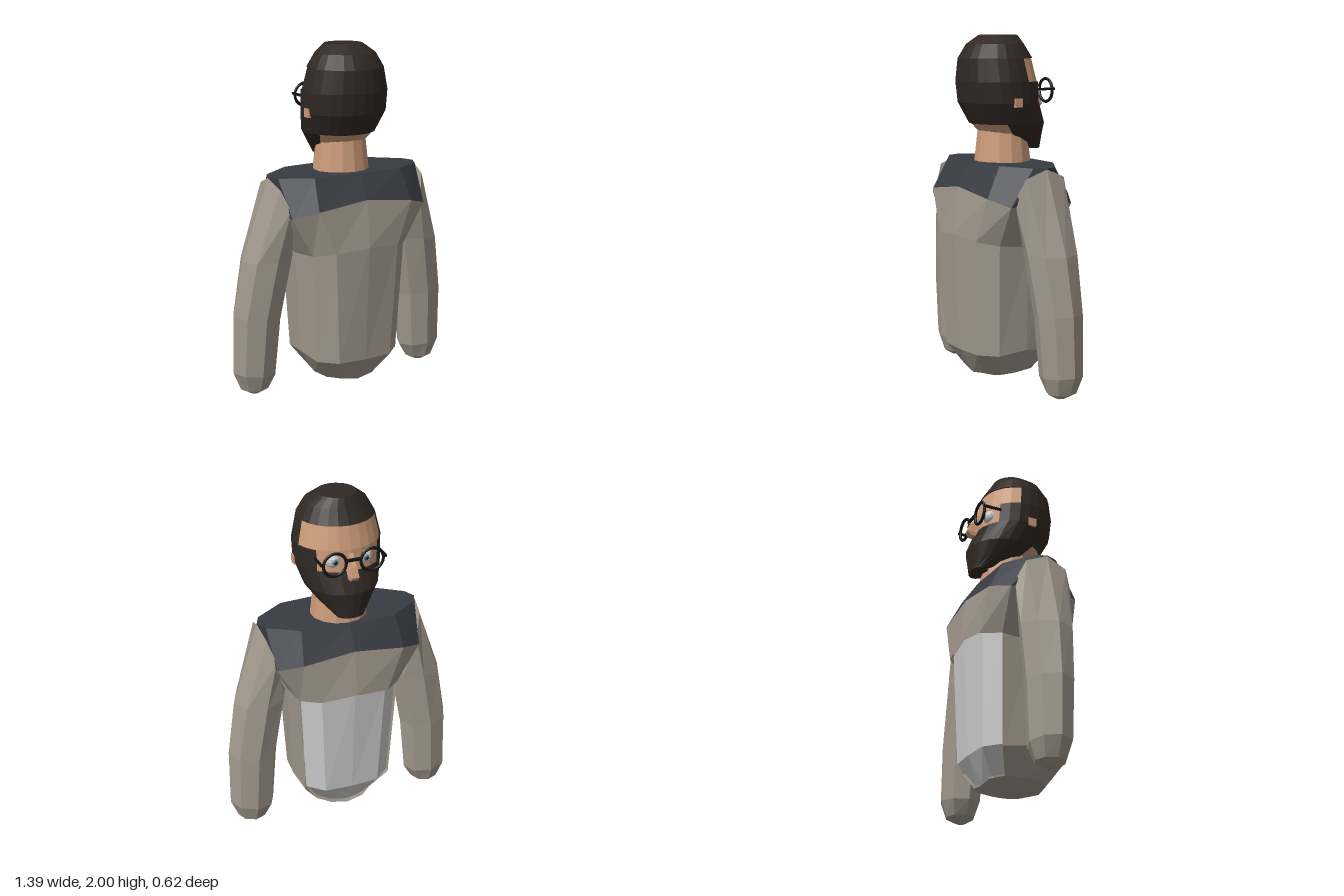
import * as THREE from 'three';

const mat = (color) => new THREE.MeshStandardMaterial({ color, flatShading: true, side: THREE.DoubleSide });
const COAT = mat(0xa1988c), NAVY = mat(0x383b42), SHIRT = mat(0xcccccc), SKIN = mat(0xcc9b7a);
const HAIR = mat(0x2f2824), BLACK = mat(0x141416), WHITE = mat(0xeeeeee), IRIS = mat(0x5f7f95);

// Skin rings of points (bottom to top, counterclockwise from above); keep(i, j) may leave faces out
function loft(rings, { bottom = false, top = false, keep = () => true } = {}) {
  const n = rings[0].length, pos = rings.flat(2), index = [];
  for (let i = 0; i < rings.length - 1; i++) {
    for (let j = 0; j < n; j++) {
      if (!keep(i, j)) continue;
      const a = i * n + j, b = i * n + (j + 1) % n;
      index.push(a, b, b + n, a, b + n, a + n);
    }
  }
  const cap = (i, up) => {
    const c = pos.length / 3;
    for (let k = 0; k < 3; k++) pos.push(rings[i].reduce((s, p) => s + p[k], 0) / n);
    for (let j = 0; j < n; j++) {
      const a = i * n + j, b = i * n + (j + 1) % n;
      index.push(...(up ? [a, b, c] : [b, a, c]));
    }
  };
  if (bottom) cap(0, false);
  if (top) cap(rings.length - 1, true);
  const g = new THREE.BufferGeometry();
  g.setAttribute('position', new THREE.Float32BufferAttribute(pos, 3));
  g.setIndex(index);
  g.computeVertexNormals();
  return g;
}

function add(parent, name, geometry, material, x = 0, y = 0, z = 0) {
  const m = new THREE.Mesh(geometry, material);
  m.name = name;
  m.position.set(x, y, z);
  parent.add(m);
  return m;
}

// Torso ring from a quarter outline (centre, mid, corner, side), mirrored both ways
function torsoRing([A, B, C, D]) {
  const m = ([x, y, z], sx, sz) => [x * sx, y, z * sz];
  return [A, B, C, D, m(C, 1, -1), m(B, 1, -1), m(A, 1, -1),
    m(B, -1, -1), m(C, -1, -1), m(D, -1, 1), m(C, -1, 1), m(B, -1, 1)];
}

function addTorso(parent) {
  const rings = [
    [[0, .03, .1], [.07, .035, .09], [.11, .04, .06], [.13, .045, 0]],
    [[0, .05, .18], [.1, .065, .17], [.17, .07, .11], [.19, .07, 0]],
    [[0, .2, .27], [.17, .2, .26], [.265, .2, .17], [.285, .22, 0]],
    [[0, .88, .31], [.2, .86, .285], [.3, .84, .19], [.31, .82, 0]],
    [[0, 1.15, .28], [.3, 1.11, .27], [.43, 1.07, .2], [.46, 1.1, 0]],
    [[0, 1.285, .2], [.28, 1.285, .18], [.45, 1.28, .07], [.48, 1.28, 0]],
  ].map(torsoRing);
  // Coat open at the chest, with a recessed shirt panel behind the opening
  const opening = (j) => j >= 4 && j <= 7;
  add(parent, 'coat', loft(rings.slice(0, 5), { bottom: true, keep: (i, j) => !(opening(j) && (i === 1 || i === 2)) }), COAT);
  const inset = rings.slice(1, 4).map((r) => r.map(([x, y, z]) => [x * .97, y + .015, z * .93]));
  add(parent, 'shirtPanel', loft(inset, { keep: (i, j) => opening(j) }), SHIRT);
  add(parent, 'shoulderYoke', loft(rings.slice(4), { top: true }), NAVY);
}

// Sleeve rings: centre x, y, z, half width, half depth, slope of y over x
function addSleeve(parent, s) {
  const rings = [
    [.565, .005, -.04, .03, .03, 0],
    [.565, .035, -.045, .085, .085, 0],
    [.563, .13, -.045, .132, .118, .1],
    [.545, .47, -.035, .145, .132, .1],
    [.485, .82, -.02, .155, .15, -.1],
    [.425, 1.11, 0, .055, .175, 3],
  ].map(([cx, cy, cz, rx, rz, slope]) => {
    const ring = [];
    for (let k = 0; k < 8; k++) {
      const a = k * Math.PI / 4, dx = rx * Math.cos(a);
      ring.push([s * (cx + dx), cy + slope * dx, cz - rz * Math.sin(a)]);
    }
    return s > 0 ? ring : ring.reverse();
  });
  add(parent, s > 0 ? 'leftSleeve' : 'rightSleeve', loft(rings, { bottom: true, top: true }), COAT);
}

// Head ring: height, back z, front z, half width; point 0 is the middle of the face
const SEG = 24;
function headRing([y, back, front, rx], scale = 1) {
  const cz = (back + front) / 2, rz = (back - front) / 2 * scale;
  return Array.from({ length: SEG }, (_, j) => {
    const a = j / SEG * Math.PI * 2;
    return [-Math.sin(a) * rx * scale, y, cz - rz * Math.cos(a)];
  });
}

function addHead(parent) {
  const head = new THREE.Group();
  head.name = 'head';
  parent.add(head);
  const rows = [
    [1.35, -.15, -.255, .08], [1.42, .06, -.262, .15], [1.5, .17, -.268, .21], [1.62, .235, -.22, .247],
    [1.74, .25, -.213, .25], [1.87, .24, -.18, .22], [1.95, .19, -.13, .175], [2, .12, -.1, .11],
  ];
  // Hair and beard with a face window, wider at the forehead; the nape stays bare
  const keep = (i, j) => {
    const a = (j + .5) / SEG * 360, off = Math.min(a, 360 - a);
    if (i === 4) return off > 70;
    if (i === 3) return off > 45;
    return i > 1 || off < 125;
  };
  add(head, 'hairAndBeard', loft(rows.map((r) => headRing(r)), { bottom: true, top: true, keep }), HAIR);
  const skull = [[1.43, .1, -.17, .14], [1.5, .165, -.22, .2], ...rows.slice(3, 6)];
  add(head, 'face', loft(skull.map((r) => headRing(r, .965)), { bottom: true, top: true }), SKIN);
  add(parent, 'neck', new THREE.CylinderGeometry(.143, .165, .2, 14), SKIN, 0, 1.365, -.02);

  // Nose
  const nose = [[1.58, -.262, .035], [1.605, -.283, .034], [1.66, -.262, .024], [1.72, -.215, .016]].map(
    ([y, z, w]) => [[-w, y, -.17], [w, y, -.17], [w * .6, y, z], [-w * .6, y, z]]);
  add(head, 'nose', loft(nose, { bottom: true, top: true }), SKIN);

  for (const s of [1, -1]) {
    const side = s > 0 ? 'left' : 'right';
    add(head, side + 'Eye', new THREE.SphereGeometry(.045, 12, 8), WHITE, s * .092, 1.68, -.167);
    add(head, side + 'Iris', new THREE.SphereGeometry(.019, 10, 6), IRIS, s * .09, 1.68, -.2);
    add(head, side + 'Pupil', new THREE.SphereGeometry(.01, 8, 6), BLACK, s * .09, 1.68, -.213);
    add(head, side + 'Ear', new THREE.BoxGeometry(.03, .05, .05), SKIN, s * .235, 1.625, .03);
    // Glasses: round rim and short temple arm
    add(head, side + 'Rim', new THREE.TorusGeometry(.066, .009, 6, 20), BLACK, s * .108, 1.685, -.247);
    add(head, side + 'Temple', new THREE.BoxGeometry(.01, .014, .11), BLACK, s * .185, 1.695, -.2);
  }
  add(head, 'glassesBridge', new THREE.BoxGeometry(.085, .014, .016), BLACK, 0, 1.7, -.25);
}

export function createModel() {
  const model = new THREE.Group();
  model.name = 'beardedFigureBust';
  addTorso(model);
  for (const s of [1, -1]) addSleeve(model, s);
  addHead(model);
  return model;
}
